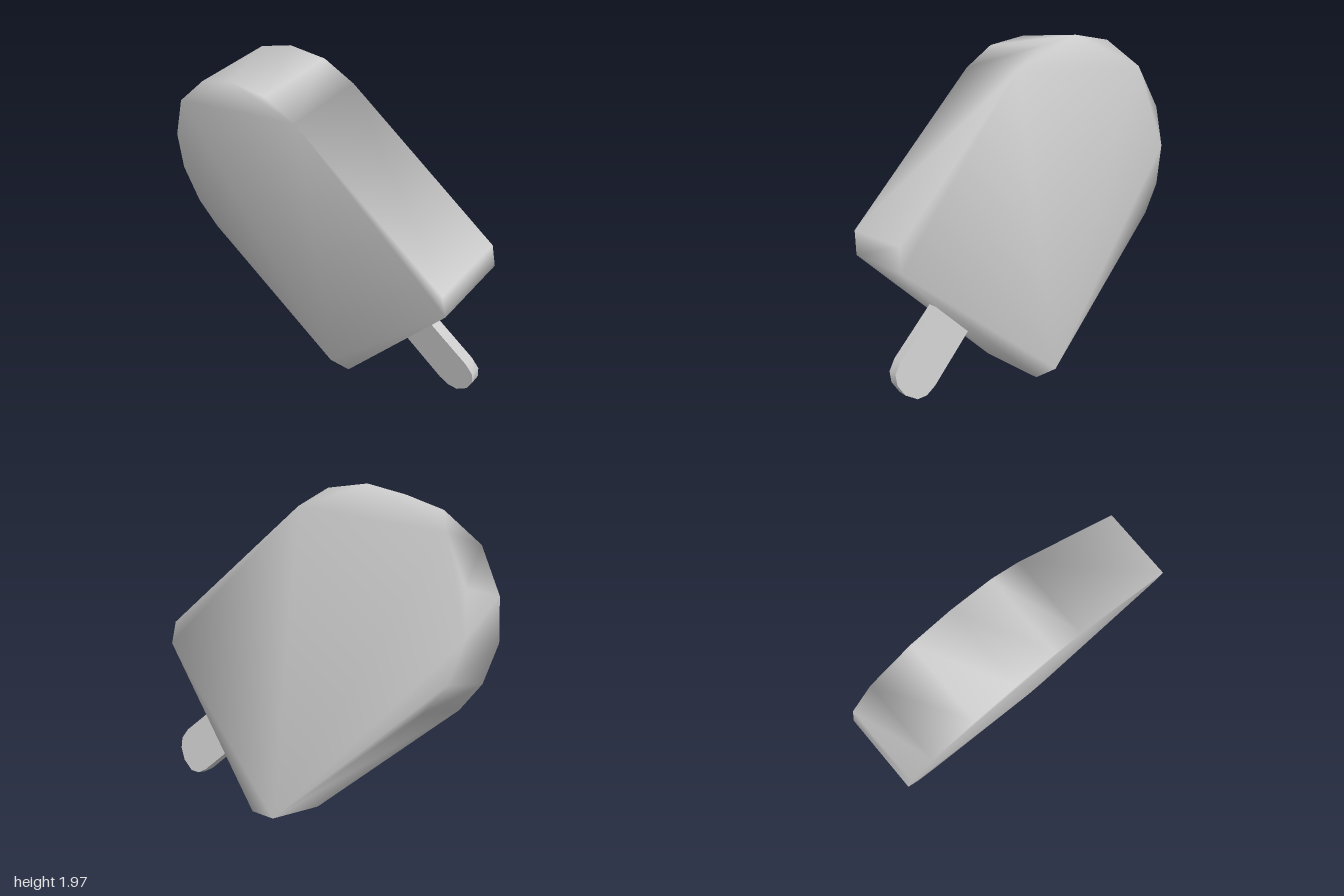
import * as THREE from 'three';
import { mergeVertices, toCreasedNormals } from 'three/addons/utils/BufferGeometryUtils.js';

// Extrude an outline, centred on local z = 0
function slab(points, depth) {
  const shape = new THREE.Shape(points.map(([x, y]) => new THREE.Vector2(x, y)));
  const geometry = new THREE.ExtrudeGeometry(shape, { depth, bevelEnabled: false });
  return geometry.translate(0, 0, -depth / 2);
}

// Share all corners so the shading flows over the edges
function softShaded(geometry) {
  geometry.deleteAttribute('normal');
  geometry.deleteAttribute('uv');
  const merged = mergeVertices(geometry);
  merged.clearGroups();
  merged.computeVertexNormals();
  return merged;
}

export function createModel() {
  const grey = new THREE.MeshStandardMaterial({ color: 0xcccccc });
  grey.name = 'light grey';

  // Ice block: rounded at the upper left, straight sides, clipped lower corners
  const iceOutline = [
    [0.06, -0.956], [0.21, -0.946], [0.97, -0.032], [0.955, 0.105],
    [0.09, 0.836], [-0.10, 0.937], [-0.35, 0.957], [-0.59, 0.896],
    [-0.84, 0.704], [-0.975, 0.43], [-1.0, 0.176], [-0.93, -0.058], [-0.81, -0.22],
  ];
  const ice = new THREE.Mesh(softShaded(slab(iceOutline, 0.467)), grey);
  ice.name = 'iceBlock';

  // Flat stick with a rounded end, its root sunk into the ice
  const stickOutline = [
    [0.42, -0.519], [0.77, -0.824], [0.83, -0.857], [0.89, -0.854], [0.96, -0.798],
    [0.997, -0.722], [0.997, -0.656], [0.955, -0.595], [0.60, -0.30],
  ];
  const stick = new THREE.Mesh(toCreasedNormals(slab(stickOutline, 0.063), 0.9), grey);
  stick.name = 'stick';

  // The whole treat leans forward
  const treat = new THREE.Group();
  treat.name = 'iceTreat';
  treat.add(ice, stick);
  treat.rotation.x = THREE.MathUtils.degToRad(10);
  treat.position.set(0, 0.984, 0.003);

  const model = new THREE.Group();
  model.name = 'model';
  model.add(treat);
  return model;
}
